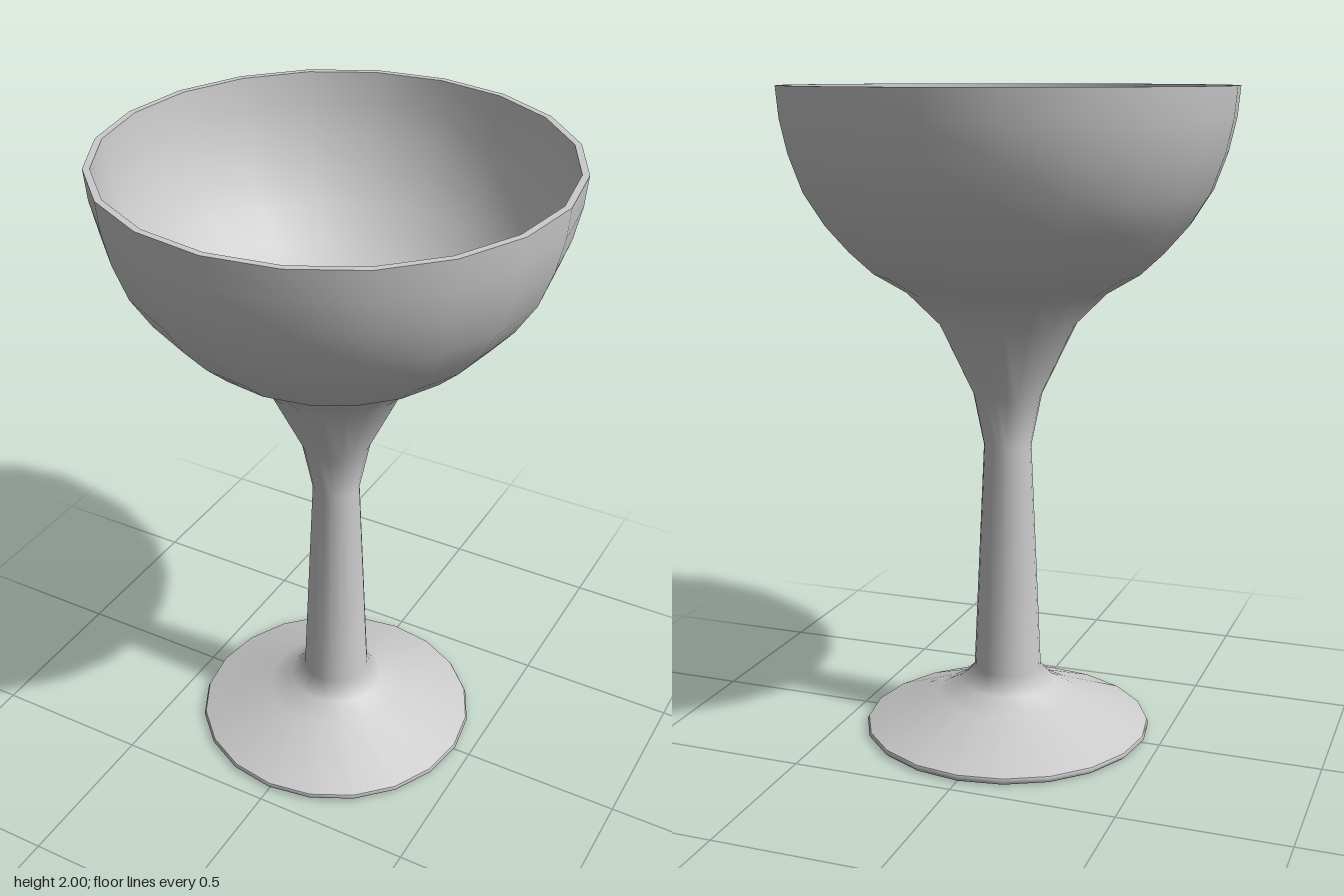
import * as THREE from 'three';

const SIDES = 20;

export function createModel() {
  const group = new THREE.Group();
  group.name = 'goblet';
  const material = new THREE.MeshStandardMaterial({ color: 0xcccccc });

  // Turns a list of [radius, height] pairs around the y axis
  const turn = (name, profile) => {
    const points = profile.map(([r, y]) => new THREE.Vector2(r, y));
    const mesh = new THREE.Mesh(new THREE.LatheGeometry(points, SIDES), material);
    mesh.name = name;
    group.add(mesh);
  };

  // Foot: flat underside and thin edge
  turn('footUnderside', [[0, 0], [0.44, 0]]);
  turn('footEdge', [[0.44, 0], [0.45, 0.01], [0.445, 0.02]]);

  // Smooth outer skin: foot top, tapering stem, flare and bowl
  turn('outerBody', [
    [0.445, 0.02], [0.22, 0.11], [0.15, 0.15], [0.105, 0.2],
    [0.073, 0.92], [0.105, 1.08], [0.21, 1.3], [0.31, 1.4],
    [0.41, 1.46], [0.48, 1.525], [0.55, 1.605], [0.61, 1.7],
    [0.65, 1.81], [0.672, 1.91], [0.68, 2],
  ]);

  // Flat rim
  turn('rim', [[0.68, 2], [0.66, 2]]);

  // Rounded inside of the bowl
  turn('bowlInside', [
    [0.66, 2], [0.652, 1.91], [0.63, 1.815], [0.59, 1.71],
    [0.535, 1.62], [0.465, 1.54], [0.395, 1.48], [0.3, 1.425],
    [0.2, 1.39], [0.1, 1.37], [0, 1.365],
  ]);

  return group;
}
